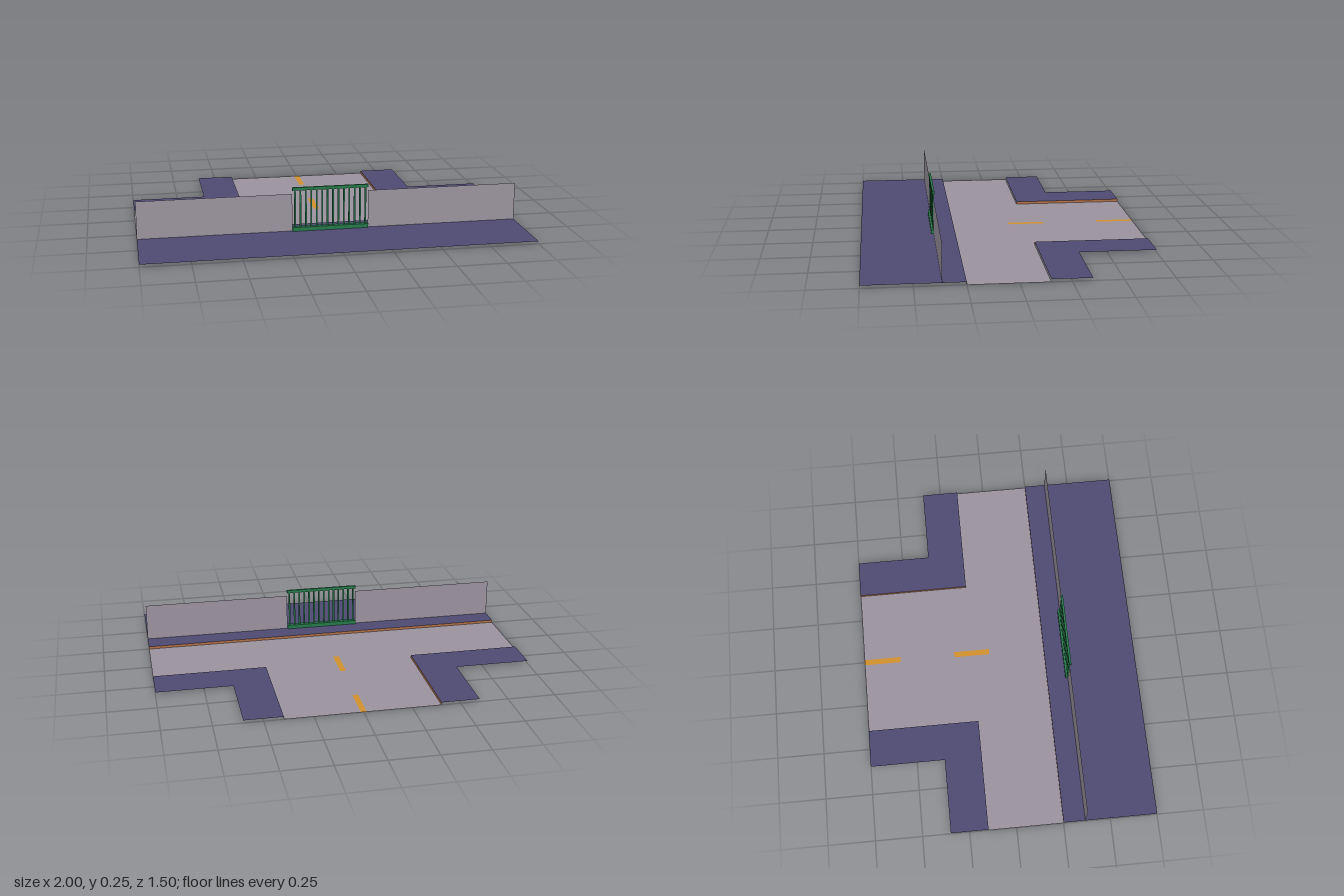
import * as THREE from 'three';

const H = 0.014; // pavement height above the road
const WALL_Z = 0.365;

function material(name, color) {
  const m = new THREE.MeshStandardMaterial({ color, side: THREE.DoubleSide });
  m.name = name;
  return m;
}

export function createModel() {
  const group = new THREE.Group();
  const concrete = material('warm grey', 0x9a929d);
  const paving = material('slate purple', 0x4e4972);
  const curbPaint = material('curb brown', 0xb06f45);
  const linePaint = material('line orange', 0xd0902c);
  const green = material('railing green', 0x26794a);

  function add(name, geometry, mat, x = 0, y = 0, z = 0, parent = group) {
    const mesh = new THREE.Mesh(geometry, mat);
    mesh.name = name;
    mesh.position.set(x, y, z);
    parent.add(mesh);
    return mesh;
  }

  // Flat horizontal sheet from [x, z] corners, facing up
  const toPoints = (pts) => pts.map(([x, z]) => new THREE.Vector2(x, -z));
  function sheet(pts, holes = []) {
    const shape = new THREE.Shape(toPoints(pts));
    holes.forEach((h) => shape.holes.push(new THREE.Path(toPoints(h))));
    return new THREE.ShapeGeometry(shape).rotateX(-Math.PI / 2);
  }
  const rect = (x0, x1, z0, z1) => [[x0, z0], [x0, z1], [x1, z1], [x1, z0]];

  // T-junction road with the centre dashes let into its surface
  const innerDash = rect(-0.015, 0.015, -0.25, -0.055);
  const outerDash = rect(-0.015, 0.015, -0.75, -0.55);
  add('road', sheet([
    [-1, -0.15], [-1, 0.25], [1, 0.25], [1, -0.15], [0.4, -0.15], [0.4, -0.75],
    [0.015, -0.75], [0.015, -0.55], [-0.015, -0.55], [-0.015, -0.75],
    [-0.4, -0.75], [-0.4, -0.15],
  ], [innerDash]), concrete);
  add('innerDash', sheet(innerDash), linePaint);
  add('outerDash', sheet(outerDash), linePaint);

  // Long front pavement and its curb
  add('frontPavement', sheet(rect(-1, 1, 0.25, 0.75)), paving, 0, H);
  add('frontCurb', new THREE.PlaneGeometry(2, H).rotateY(Math.PI), curbPaint, 0, H / 2, 0.25);

  // Mirrored corner pavements, side curbs and wall halves
  for (const s of [-1, 1]) {
    const side = s > 0 ? 'left' : 'right';
    const corner = [
      [0.4, -0.75], [0.4, -0.15], [1, -0.15], [1, -0.35], [0.6, -0.35], [0.6, -0.75],
    ].map(([x, z]) => [s * x, z]);
    add(side + 'CornerPavement', sheet(corner), paving, 0, H);
    add(side + 'Curb', new THREE.PlaneGeometry(0.6, H).rotateY(-s * Math.PI / 2),
      curbPaint, s * 0.4, H / 2, -0.45);
    add(side + 'Wall', new THREE.PlaneGeometry(0.8, 0.2), concrete, s * 0.6, H + 0.1, WALL_Z);
  }

  // Barred gate between the wall halves
  const gate = new THREE.Group();
  gate.name = 'gate';
  gate.position.set(0, H, WALL_Z);
  group.add(gate);
  add('gateBase', new THREE.BoxGeometry(0.4, 0.021, 0.027), green, 0, 0.0115, 0, gate);
  add('gateTopRail', new THREE.BoxGeometry(0.4, 0.016, 0.012), green, 0, 0.226, 0, gate);
  const bar = new THREE.BoxGeometry(0.008, 0.2, 0.008);
  for (let i = 0; i < 14; i++) {
    add('gateBar', bar, green, -0.186 + (i * 0.372) / 13, 0.12, 0, gate);
  }
  return group;
}
